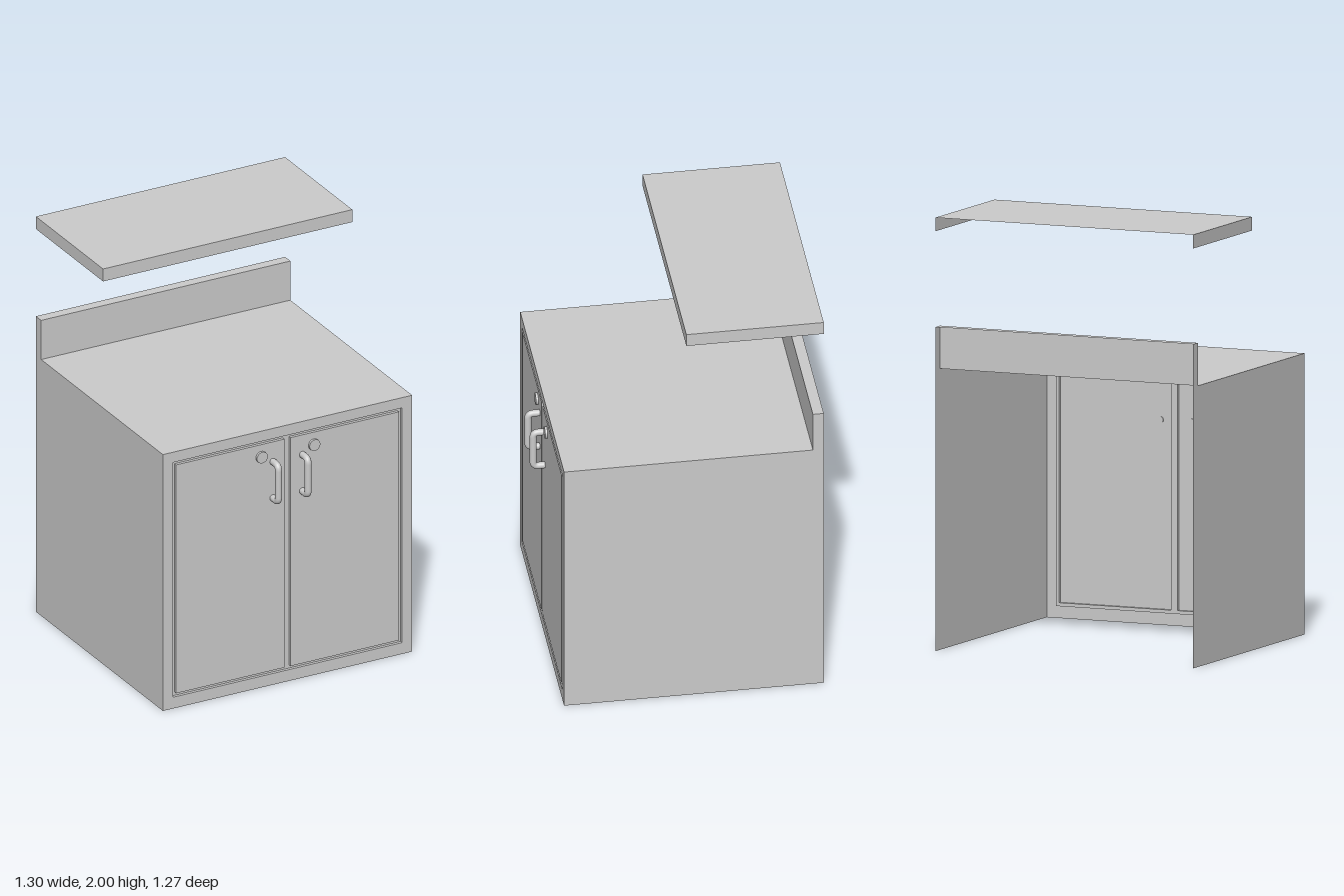
import * as THREE from 'three';

const W = 0.65, FRONT = 0.565, BACK = -0.635, SPLASH = -0.585;
const COUNTER = 1.297, SPLASH_TOP = 1.495, GROOVE = 0.015;
const sheet = new THREE.MeshStandardMaterial({ color: 0xcccccc, side: THREE.DoubleSide });
const solid = new THREE.MeshStandardMaterial({ color: 0xcccccc });

function add(parent, name, geometry, material = sheet) {
  const mesh = new THREE.Mesh(geometry, material);
  mesh.name = name;
  parent.add(mesh);
  return mesh;
}

// Corners of a rectangle [x0, y0, x1, y1]
const corners = ([x0, y0, x1, y1]) =>
  [[x0, y0], [x1, y0], [x1, y1], [x0, y1]].map(([x, y]) => new THREE.Vector2(x, y));

// Flat sheet facing +z with rectangular holes
function facing(rect, z, holes = []) {
  const shape = new THREE.Shape(corners(rect));
  for (const h of holes) shape.holes.push(new THREE.Path(corners(h)));
  return new THREE.ShapeGeometry(shape).translate(0, 0, z);
}

// Sheet from a strip of [y, z] points, swept from x = x0 to x = x1; counter-clockwise seen from +x
function sweep(points, x0, x1) {
  const pos = [];
  for (let i = 0; i < points.length - 1; i++) {
    const [ya, za] = points[i], [yb, zb] = points[i + 1];
    pos.push(x0, ya, za, x1, ya, za, x1, yb, zb, x0, ya, za, x1, yb, zb, x0, yb, zb);
  }
  const g = new THREE.BufferGeometry();
  g.setAttribute('position', new THREE.Float32BufferAttribute(pos, 3));
  g.computeVertexNormals();
  return g;
}

// Side sheet at the given x from a [z, y] outline
function sideSheet(outline, side) {
  const shape = new THREE.Shape(outline.map(([z, y]) => new THREE.Vector2(-z, y)));
  return new THREE.ShapeGeometry(shape).rotateY(side * Math.PI / 2).scale(1, 1, side).translate(side * W, 0, 0);
}

// Four walls of a groove edge, between the front face and the groove floor
function grooveWalls(rect, outward) {
  const c = corners(rect), pos = [];
  const [z0, z1] = outward ? [FRONT - GROOVE, FRONT] : [FRONT, FRONT - GROOVE];
  c.forEach((a, i) => {
    const b = c[(i + 1) % 4];
    pos.push(a.x, a.y, z0, b.x, b.y, z0, b.x, b.y, z1, a.x, a.y, z0, b.x, b.y, z1, a.x, a.y, z1);
  });
  const g = new THREE.BufferGeometry();
  g.setAttribute('position', new THREE.Float32BufferAttribute(pos, 3));
  g.computeVertexNormals();
  return g;
}

// Bracket-shaped pull with rounded bends
function handleGeometry() {
  const z0 = FRONT - 0.005, z1 = 0.619, lo = 0.946, hi = 1.13, r = 0.025;
  const v = (y, z) => new THREE.Vector3(0, y, z);
  const path = new THREE.CurvePath();
  path.add(new THREE.LineCurve3(v(lo, z0), v(lo, z1 - r)));
  path.add(new THREE.QuadraticBezierCurve3(v(lo, z1 - r), v(lo, z1), v(lo + r, z1)));
  path.add(new THREE.LineCurve3(v(lo + r, z1), v(hi - r, z1)));
  path.add(new THREE.QuadraticBezierCurve3(v(hi - r, z1), v(hi, z1), v(hi, z1 - r)));
  path.add(new THREE.LineCurve3(v(hi, z1 - r), v(hi, z0)));
  return new THREE.TubeGeometry(path, 64, 0.016, 16);
}

export function createModel() {
  const model = new THREE.Group();
  model.name = 'cabinet';

  // Body: open at the back and underneath
  const body = new THREE.Group();
  body.name = 'body';
  model.add(body);
  const opening = [-0.597, 0.057, 0.597, 1.245];
  const doors = [[-0.581, 0.073, -0.016, 1.229], [0.016, 0.073, 0.581, 1.229]];
  add(body, 'frontFrame', facing([-W, 0, W, COUNTER], FRONT, [opening]));
  add(body, 'grooveFloor', facing(opening, FRONT - GROOVE, doors));
  add(body, 'openingEdge', grooveWalls(opening, false));
  add(body, 'countertopAndBacksplash', sweep(
    [[COUNTER, FRONT], [COUNTER, SPLASH], [SPLASH_TOP, SPLASH], [SPLASH_TOP, BACK]], -W, W));
  const outline = [[FRONT, 0], [BACK, 0], [BACK, SPLASH_TOP], [SPLASH, SPLASH_TOP], [SPLASH, COUNTER], [FRONT, COUNTER]];
  for (const side of [1, -1]) add(body, side > 0 ? 'leftSide' : 'rightSide', sideSheet(outline, side));

  // Doors, each with a pull and a round lock
  const pull = handleGeometry();
  const lock = new THREE.CylinderGeometry(0.028, 0.028, 0.012, 32).rotateX(Math.PI / 2);
  doors.forEach((rect, i) => {
    const side = i ? 1 : -1;
    const door = new THREE.Group();
    door.name = i ? 'leftDoor' : 'rightDoor';
    model.add(door);
    add(door, 'doorPanel', facing(rect, FRONT));
    add(door, 'doorEdge', grooveWalls(rect, true));
    add(door, 'handle', pull, solid).position.x = side * 0.077;
    add(door, 'lock', lock, solid).position.set(side * 0.137, 1.167, FRONT + 0.005);
  });

  // Upper shelf: top, front and ends only
  const shelf = new THREE.Group();
  shelf.name = 'upperShelf';
  model.add(shelf);
  add(shelf, 'shelfTopAndFront', sweep([[1.937, 0], [2, 0], [2, BACK]], -W, W));
  for (const side of [1, -1])
    add(shelf, 'shelfEnd', sideSheet([[0, 1.937], [BACK, 1.937], [BACK, 2], [0, 2]], side));

  return model;
}
